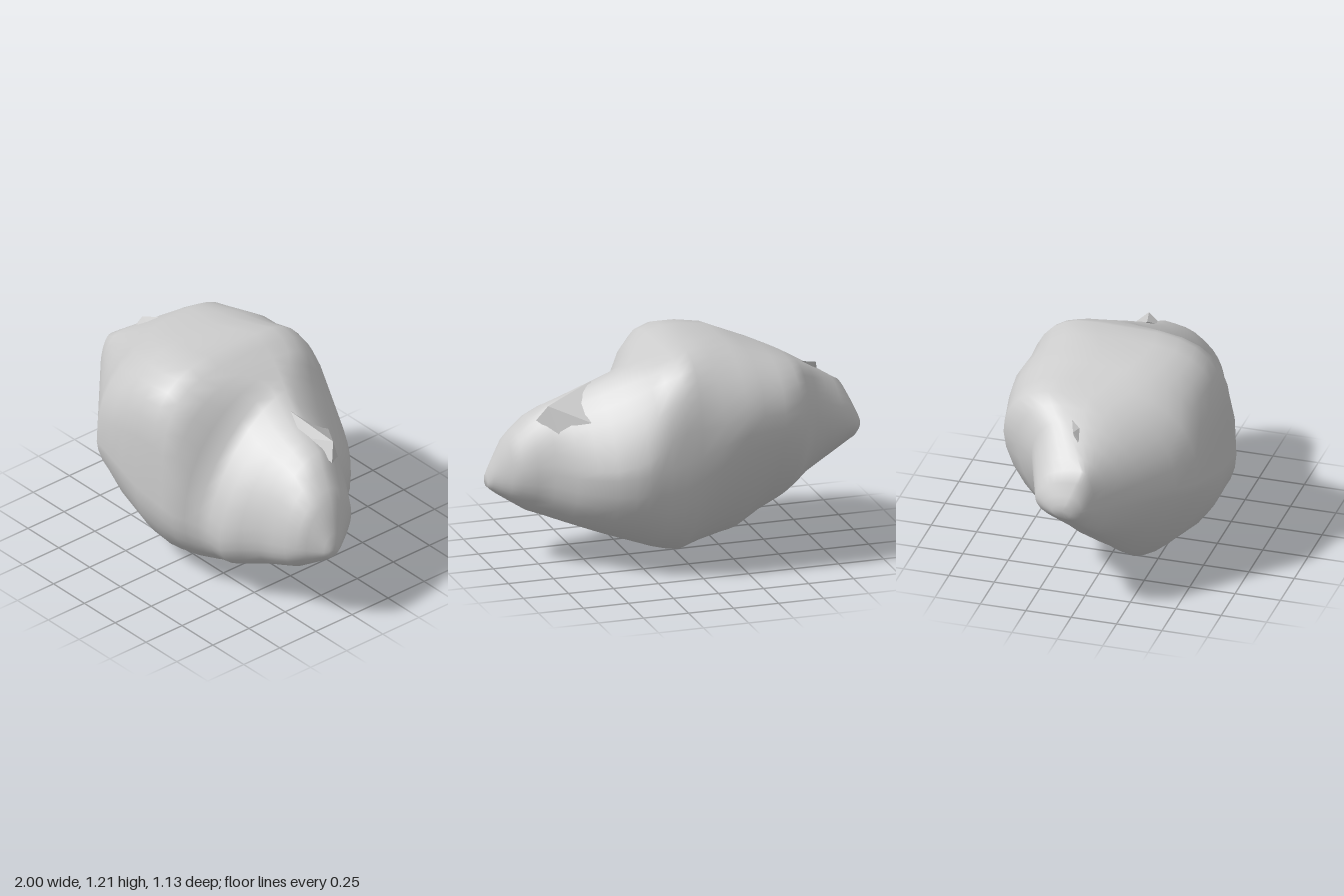
import * as THREE from 'three';
import { ConvexGeometry } from 'three/addons/geometries/ConvexGeometry.js';

const material = new THREE.MeshStandardMaterial({ color: 0xcccccc });

// Outline of the boulder along x. Each row: x, then two values.
const top = [ // x, y, z of the crest
  [-1, 0.67, -0.03], [-0.92, 0.84, 0.03], [-0.75, 0.96, -0.08], [-0.57, 1.08, -0.2], [-0.23, 1.19, -0.08],
  [0.02, 1.21, -0.17], [0.15, 1.155, -0.16], [0.27, 1.1, -0.12], [0.5, 0.98, -0.04], [0.72, 0.88, -0.01],
  [0.8, 0.82, 0.03], [0.91, 0.7, 0.07], [0.97, 0.57, 0.1], [1, 0.49, 0.12],
];
const bottom = [ // x, y, z of the keel
  [-1, 0.59, -0.03], [-0.86, 0.45, 0.07], [-0.33, 0.04, 0.14], [0.02, 0, 0.1],
  [0.3, 0.1, 0.1], [0.8, 0.28, 0.13], [0.97, 0.39, 0.13], [1, 0.42, 0.13],
];
const front = [ // x, z, y of the front ridge
  [-1, 0, 0.63], [-0.98, 0.05, 0.63], [-0.45, 0.53, 0.6], [-0.1, 0.56, 0.5],
  [0.18, 0.55, 0.45], [0.34, 0.45, 0.4], [0.45, 0.45, 0.38], [0.64, 0.33, 0.42],
  [0.86, 0.285, 0.46], [1, 0.16, 0.45],
];
const back = [ // x, z, y of the back ridge
  [-1, -0.11, 0.63], [-0.96, -0.21, 0.66], [-0.7, -0.31, 0.76], [-0.55, -0.51, 0.8],
  [-0.25, -0.57, 0.8], [0.1, -0.54, 0.66], [0.32, -0.515, 0.6], [0.47, -0.44, 0.57],
  [0.62, -0.32, 0.56], [0.72, -0.2, 0.56], [0.88, -0.1, 0.53], [0.98, 0.05, 0.48], [1, 0.09, 0.45],
];
// Exponents of the four quarters: top-front, front-bottom, bottom-back, back-top
// (small = boxy, 1 = round, large = flat)
const fullness = [
  [-1, 1, 1, 1, 1], [-0.6, 0.9, 1.3, 1.1, 0.9], [-0.4, 0.75, 1.3, 1.35, 0.9], [-0.1, 0.5, 1.05, 1.15, 0.85],
  [0.13, 0.5, 1, 0.85, 0.65], [0.2, 0.8, 0.95, 0.85, 0.8], [0.3, 1.25, 0.85, 0.9, 1.15],
  [0.5, 1.3, 0.8, 0.9, 1.4], [0.75, 1.05, 0.8, 0.9, 1.1], [1, 1, 1, 1, 1],
];

// Linear lookup in one of the tables above
function sample(table, x) {
  let k = 0;
  while (k < table.length - 2 && x > table[k + 1][0]) k++;
  const [p, q] = [table[k], table[k + 1]];
  const t = THREE.MathUtils.clamp((x - p[0]) / (q[0] - p[0]), 0, 1);
  return p.slice(1).map((v, n) => THREE.MathUtils.lerp(v, q[n + 1], t));
}

// Closed section at x: four rounded quarters, top -> front -> bottom -> back
function section(x, sides) {
  const [ty, tz] = sample(top, x), [by, bz] = sample(bottom, x);
  const [fz, fy] = sample(front, x), [kz, ky] = sample(back, x);
  const exponents = sample(fullness, x);
  const points = [];
  for (let i = 0; i < sides; i++) {
    const a = (i / sides) * Math.PI * 2;
    const c = Math.abs(Math.cos(a)), s = Math.abs(Math.sin(a));
    const quarter = Math.floor((4 * i) / sides);
    const e = exponents[quarter];
    const [y0, z1] = quarter < 2 ? [fy, fz] : [ky, kz];
    const [y1, z0] = quarter % 3 === 0 ? [ty, tz] : [by, bz];
    points.push(x, y0 + (y1 - y0) * c ** e, z0 + (z1 - z0) * s ** e);
  }
  return points;
}

function boulderGeometry() {
  const sides = 32;
  const xs = [-1, -0.98, -0.95, -0.92, -0.86, -0.78, -0.7, -0.62, -0.55, -0.45, -0.33, -0.23, -0.1, 0.02,
    0.1, 0.18, 0.24, 0.3, 0.36, 0.45, 0.54, 0.63, 0.72, 0.8, 0.87, 0.91, 0.95, 0.98, 1];
  const position = [], index = [];
  xs.forEach((x) => position.push(...section(x, sides)));
  for (let j = 0; j < xs.length - 1; j++) {
    for (let i = 0; i < sides; i++) {
      const a = j * sides + i, b = j * sides + ((i + 1) % sides);
      index.push(a, b, a + sides, b, b + sides, a + sides);
    }
  }
  // End caps
  const last = (xs.length - 1) * sides, centre = xs.length * sides;
  position.push(-1, 0.63, -0.05, 1, 0.455, 0.125);
  for (let i = 0; i < sides; i++) {
    const n = (i + 1) % sides;
    index.push(centre, n, i, centre + 1, last + i, last + n);
  }
  const geometry = new THREE.BufferGeometry();
  geometry.setAttribute('position', new THREE.Float32BufferAttribute(position, 3));
  geometry.setIndex(index);
  geometry.computeVertexNormals();
  return geometry;
}

// Small angular stone chip
function chip(name, corners) {
  const mesh = new THREE.Mesh(new ConvexGeometry(corners.map((p) => new THREE.Vector3(...p))), material);
  mesh.name = name;
  return mesh;
}

export function createModel() {
  const group = new THREE.Group();
  group.name = 'rock';
  const boulder = new THREE.Mesh(boulderGeometry(), material);
  boulder.name = 'boulder';
  group.add(boulder);
  group.add(chip('leftChip', [[0.47, 1, -0.03], [0.48, 0.82, -0.27], [0.73, 0.91, -0.1],
    [0.78, 0.82, -0.05], [0.69, 0.76, -0.17], [0.6, 0.92, 0.01], [0.55, 0.75, -0.1]]));
  group.add(chip('rightChip', [[-0.77, 0.98, -0.06], [-0.79, 0.92, -0.02], [-0.77, 0.9, 0.01],
    [-0.66, 1.01, -0.1], [-0.67, 0.98, -0.03], [-0.7, 0.85, -0.06]]));
  return group;
}
